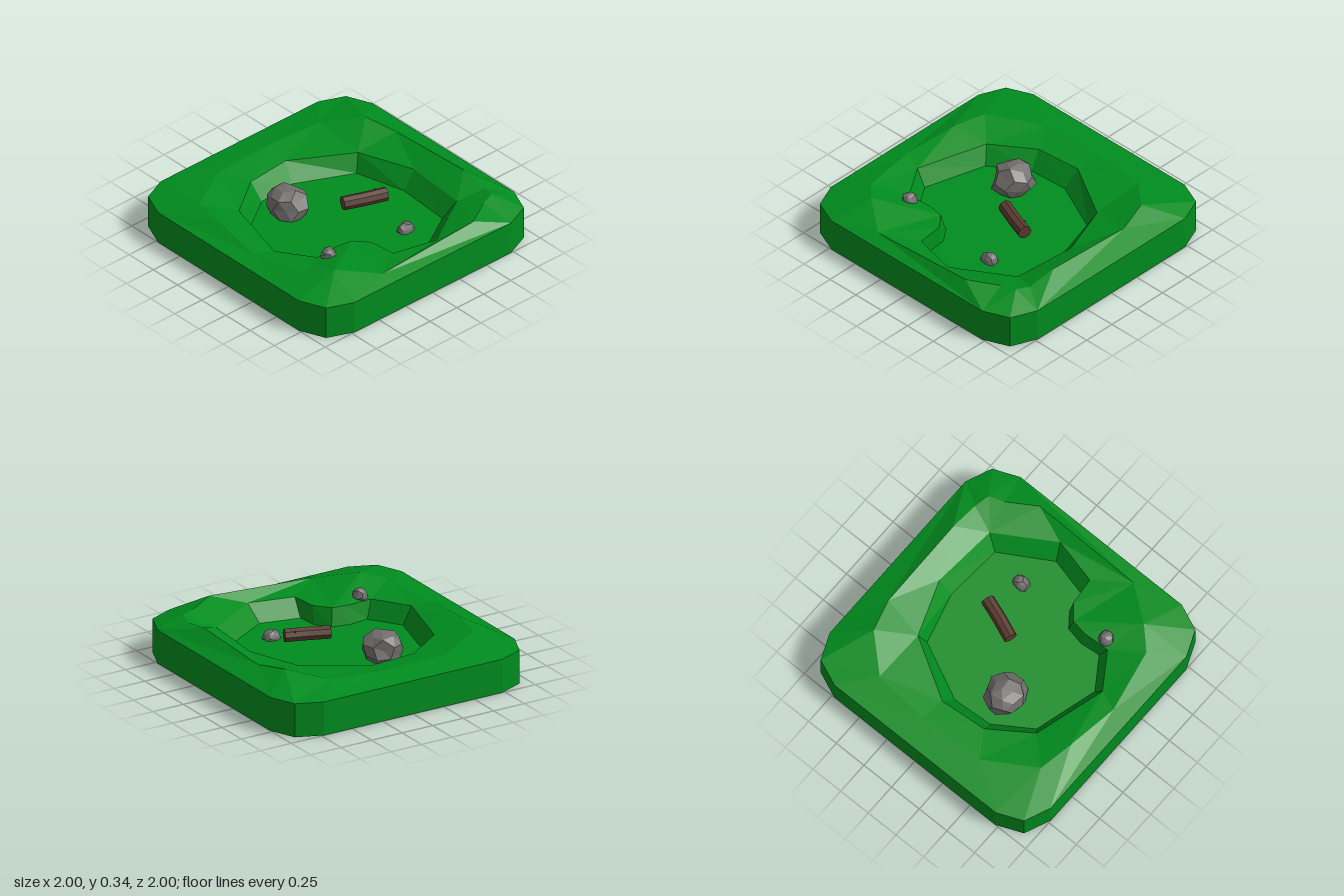
import * as THREE from 'three';

const material = (color) => new THREE.MeshStandardMaterial({ color, flatShading: true });
const GRASS = material(0x008c1e);
const STONE = material(0x726e6e);
const BARK = material(0x5a3b30);

// Loops start at the back -x corner and run back, +x side, front, -x side
const OUTLINE = [[-0.73, -1], [0.73, -1], [0.92, -0.92], [1, -0.73], [1, 0.73], [0.92, 0.92],
  [0.73, 1], [-0.73, 1], [-0.92, 0.92], [-1, 0.73], [-1, -0.73], [-0.92, -0.92]];
const HILLS = [[-0.77, 0.3, -0.56], [-0.4, 0.28, -0.78], [0.1, 0.28, -0.8], [0.52, 0.29, -0.76],
  [0.76, 0.343, -0.54], [0.83, 0.31, -0.3], [0.83, 0.342, 0.4], [0.82, 0.303, 0.62], [0.79, 0.325, 0.73],
  [0.68, 0.32, 0.77], [0.47, 0.33, 0.9], [-0.38, 0.28, 0.9], [-0.64, 0.333, 0.7], [-0.78, 0.3, 0.56],
  [-0.87, 0.27, 0.1], [-0.82, 0.31, -0.3]];
const RIM = [[-0.57, -0.37], [-0.27, -0.58], [0.08, -0.61], [0.52, -0.35], [0.67, 0.06], [0.63, 0.55],
  [0.21, 0.81], [-0.125, 0.73], [-0.145, 0.53], [-0.235, 0.425], [-0.35, 0.405], [-0.55, 0.415], [-0.72, 0.16]];
const FLOOR = [[-0.52, -0.31], [-0.25, -0.49], [0.05, -0.51], [0.47, -0.31], [0.57, 0.07], [0.54, 0.5],
  [0.17, 0.72], [-0.12, 0.65], [-0.135, 0.5], [-0.215, 0.395], [-0.35, 0.37], [-0.5, 0.385], [-0.65, 0.16]];
const EDGE_Y = 0.25;
const FLOOR_Y = 0.12;

const atHeight = (loop, y) => loop.map(([x, z]) => [x, y, z]);

function facetedMesh(name, positions) {
  const geometry = new THREE.BufferGeometry();
  geometry.setAttribute('position', new THREE.Float32BufferAttribute(positions.flat(), 3));
  geometry.computeVertexNormals();
  const mesh = new THREE.Mesh(geometry, GRASS);
  mesh.name = name;
  return mesh;
}

// Fill a flat loop, facing up or down
function cap(loop, up) {
  const faces = THREE.ShapeUtils.triangulateShape(loop.map(([x, , z]) => new THREE.Vector2(x, z)), []);
  return faces.flatMap(([i, j, k]) => {
    const [a, b, c] = [loop[i], loop[j], loop[k]];
    const ny = (b[2] - a[2]) * (c[0] - a[0]) - (b[0] - a[0]) * (c[2] - a[2]);
    return (ny > 0) === up ? [a, b, c] : [a, c, b];
  });
}

// Wall of quads between two matching loops
function wall(outer, inner) {
  return outer.flatMap((a, i) => {
    const j = (i + 1) % outer.length;
    return [a, inner[i], inner[j], a, inner[j], outer[j]];
  });
}

// Join two loops of any length, always taking the shorter diagonal
function stitch(outer, inner) {
  const distance = (a, b) => Math.hypot(a[0] - b[0], a[1] - b[1], a[2] - b[2]);
  const positions = [];
  let i = 0;
  let j = 0;
  while (i < outer.length || j < inner.length) {
    const a = outer[i % outer.length];
    const b = inner[j % inner.length];
    const nextA = outer[(i + 1) % outer.length];
    const nextB = inner[(j + 1) % inner.length];
    const moveOuter = j === inner.length || (i < outer.length && distance(nextA, b) < distance(a, nextB));
    positions.push(a, b, moveOuter ? nextA : nextB);
    if (moveOuter) i++;
    else j++;
  }
  return positions;
}

// Irregular boulder, flattened where it meets the ground
function rock(name, [x, y, z], [rx, ry, rz], groundY, seed) {
  const geometry = new THREE.IcosahedronGeometry(1, 1);
  geometry.rotateX(seed).rotateZ(seed * 0.7);
  const p = geometry.attributes.position;
  const v = new THREE.Vector3();
  for (let i = 0; i < p.count; i++) {
    v.fromBufferAttribute(p, i);
    const bump = 0.96 + 0.09 * Math.sin(v.x * 7 + seed) * Math.cos(v.z * 6 - seed) + 0.07 * Math.sin(v.y * 9 + v.x * 4);
    v.multiplyScalar(bump);
    p.setXYZ(i, x + v.x * rx, Math.max(groundY, y + v.y * ry), z + v.z * rz);
  }
  geometry.computeVertexNormals();
  const mesh = new THREE.Mesh(geometry, STONE);
  mesh.name = name;
  return mesh;
}

// Slightly bent log lying across the pit
function log() {
  const geometry = new THREE.CylinderGeometry(0.05, 0.05, 0.325, 8, 2);
  const p = geometry.attributes.position;
  for (let i = 0; i < p.count; i++) {
    if (Math.abs(p.getY(i)) < 0.01) p.setZ(i, p.getZ(i) + 0.004);
  }
  geometry.rotateZ(-Math.PI / 2);
  const trunk = new THREE.Mesh(geometry, BARK);
  trunk.name = 'logTrunk';
  const knot = new THREE.Mesh(new THREE.ConeGeometry(0.012, 0.025, 5), BARK);
  knot.name = 'logKnot';
  knot.position.set(0.09, 0.035, -0.036);
  knot.rotation.x = -0.8;
  const group = new THREE.Group();
  group.name = 'log';
  group.add(trunk, knot);
  group.position.set(0.17, 0.255, 0.105);
  group.rotation.y = -0.36;
  return group;
}

export function createModel() {
  const model = new THREE.Group();
  model.name = 'grassyPit';
  const bottom = atHeight(OUTLINE, 0);
  const edge = atHeight(OUTLINE, EDGE_Y);
  const rim = atHeight(RIM, EDGE_Y);
  const floor = atHeight(FLOOR, FLOOR_Y);

  model.add(
    facetedMesh('baseSides', wall(bottom, edge)),
    facetedMesh('underside', cap(bottom, false)),
    facetedMesh('outerSlopes', stitch(edge, HILLS)),
    facetedMesh('innerSlopes', stitch(HILLS, rim)),
    facetedMesh('pitWall', wall(rim, floor)),
    facetedMesh('pitFloor', cap(floor, true)),
    rock('largeRock', [-0.21, 0.19, -0.275], [0.15, 0.145, 0.162], FLOOR_Y, 1.3),
    rock('smallPitRock', [0.25, 0.135, 0.44], [0.068, 0.055, 0.055], FLOOR_Y, 2.6),
    rock('smallRimRock', [-0.495, 0.273, 0.47], [0.058, 0.055, 0.058], 0.23, 4.1),
    log(),
  );
  return model;
}
